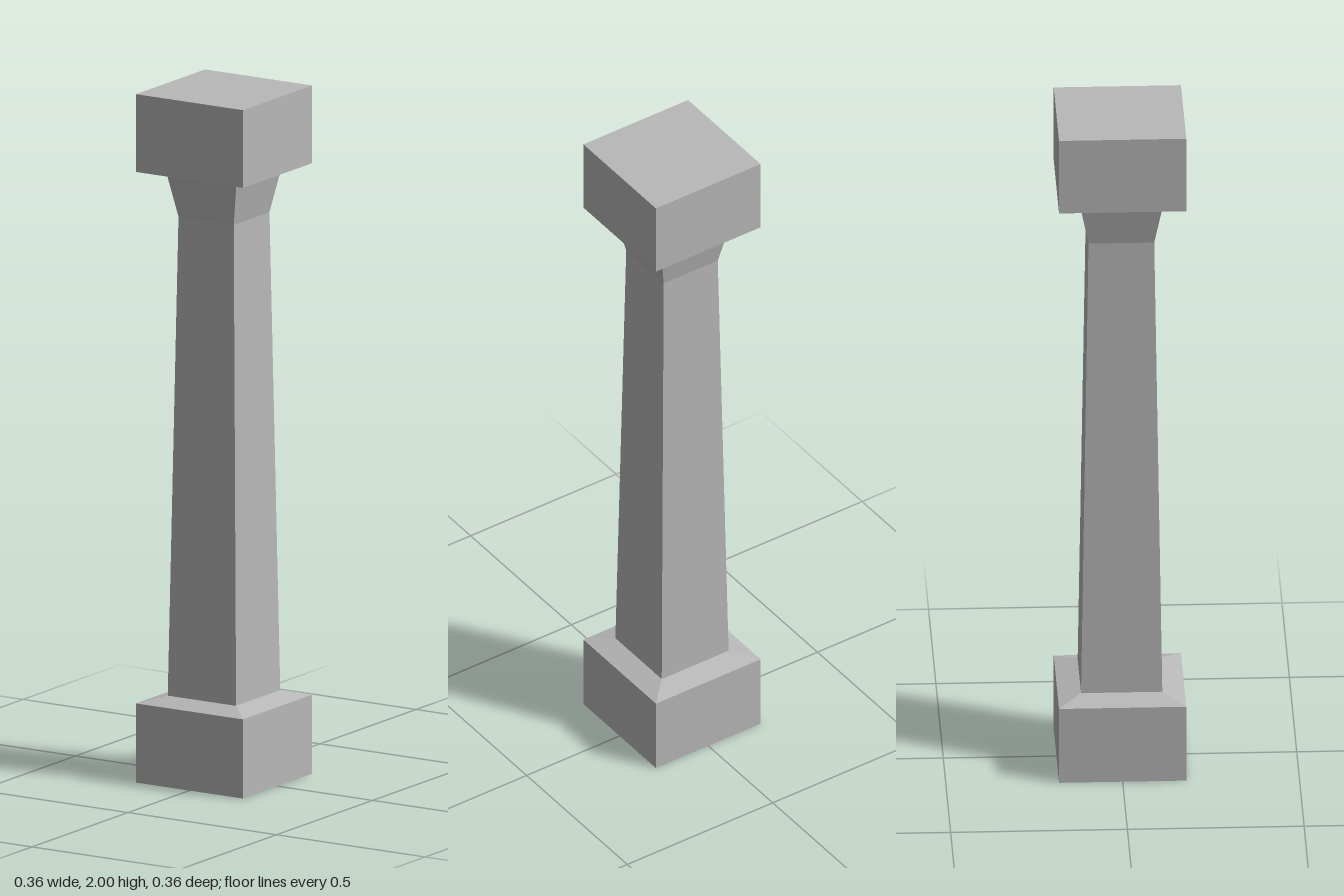
import * as THREE from 'three';

// Square hollow section: profile is a list of [half width, height], bottom to top
function squareShell(name, profile, material) {
  const points = profile.map(([half, y]) => new THREE.Vector2(half * Math.SQRT2, y));
  const geometry = new THREE.LatheGeometry(points, 4, Math.PI / 4).toNonIndexed();
  geometry.computeVertexNormals(); // flat faces
  const mesh = new THREE.Mesh(geometry, material);
  mesh.name = name;
  return mesh;
}

export function createModel() {
  const stone = new THREE.MeshStandardMaterial({ color: 0xb8b8b8, side: THREE.DoubleSide });
  stone.name = 'grey stone';

  const column = new THREE.Group();
  column.name = 'squareColumn';
  column.add(
    // Plinth, open underneath, with a shallow sloped top
    squareShell('plinth', [[0.18, 0], [0.18, 0.23], [0.115, 0.248]], stone),
    // Tapered shaft
    squareShell('shaft', [[0.115, 0.248], [0.093, 1.638]], stone),
    // Flared neck under the capital
    squareShell('neck', [[0.093, 1.638], [0.116, 1.758]], stone),
    // Capital block with sloped underside and closed flat top
    squareShell('capital', [[0.116, 1.758], [0.18, 1.774], [0.18, 2], [0, 2]], stone),
  );
  return column;
}
